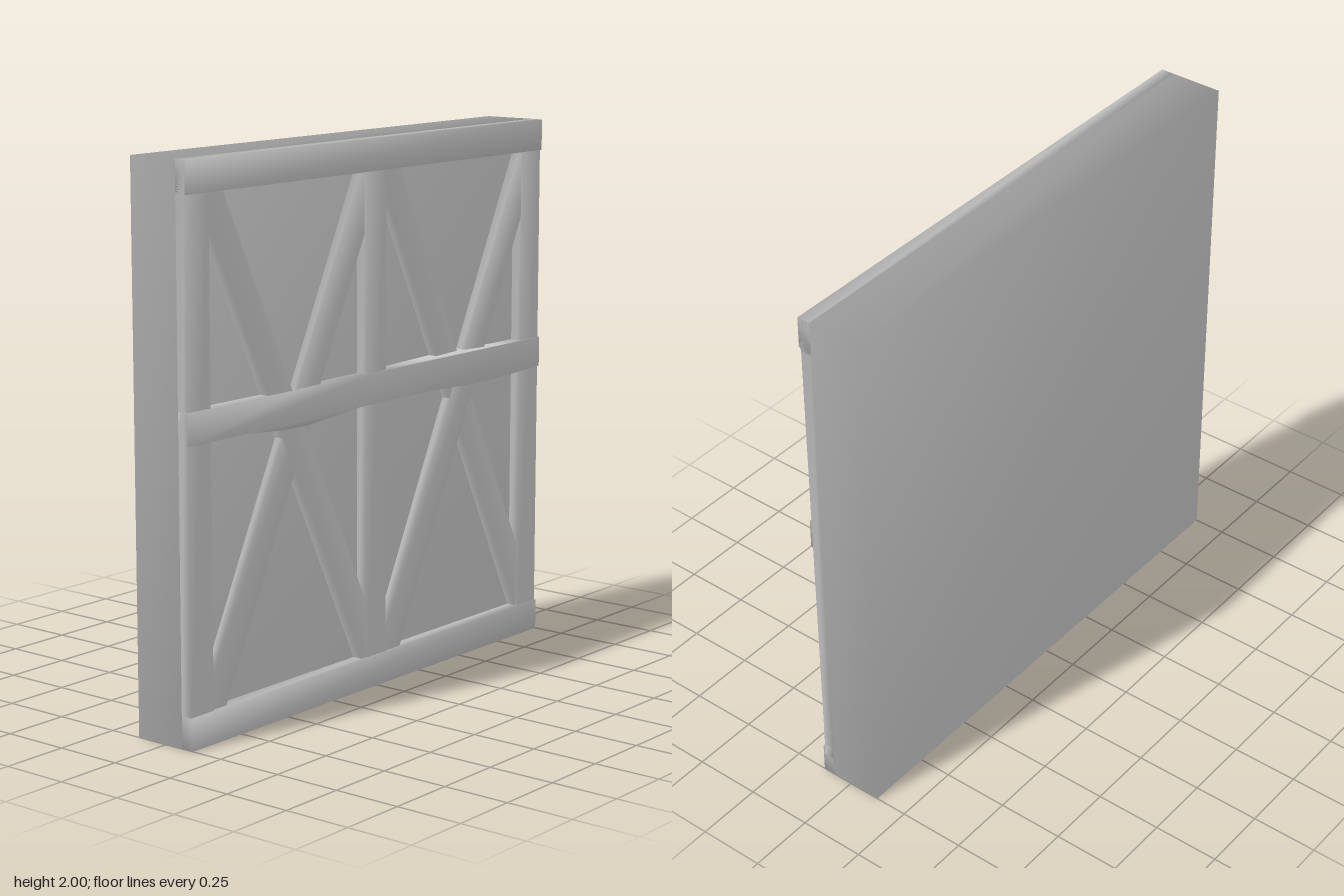
import * as THREE from 'three';
import { mergeVertices } from 'three/addons/utils/BufferGeometryUtils.js';

const BACK = -0.125, FACE = 0.075; // wall slab depth range
const WIDTH = 0.115;               // timber width

// Shares corner vertices so the shading runs softly round the edges
function soften(geometry) {
  geometry.deleteAttribute('normal');
  geometry.deleteAttribute('uv');
  const merged = mergeVertices(geometry, 1e-4);
  merged.computeVertexNormals();
  return merged;
}

export function createModel() {
  const group = new THREE.Group();
  const material = new THREE.MeshStandardMaterial({ color: 0xcccccc });

  function add(name, geometry, x, y, z, angle = 0) {
    const mesh = new THREE.Mesh(soften(geometry), material);
    mesh.name = name;
    mesh.position.set(x, y, z);
    mesh.rotation.z = angle;
    group.add(mesh);
  }

  // Timber lying on the wall face, its front at the given depth
  function timber(name, w, h, x, y, front, angle) {
    const depth = front - FACE;
    add(name, new THREE.BoxGeometry(w, h, depth), x, y, FACE + depth / 2, angle);
  }

  // Plaster slab
  add('wallPanel', new THREE.BoxGeometry(2, 2, FACE - BACK), 0, 1, (FACE + BACK) / 2);

  // Top and bottom rails
  timber('bottomRail', 2, WIDTH, 0, WIDTH / 2, 0.125);
  timber('topRail', 2, WIDTH, 0, 2 - WIDTH / 2, 0.125);

  // Upright posts
  const inset = 1 - WIDTH / 2;
  [['rightPost', -inset], ['middlePost', 0], ['leftPost', inset]].forEach(([name, x]) =>
    timber(name, WIDTH, 1.998, x, 1, 0.117));

  // Crossed braces, one in front of the other in each bay
  const lean = Math.atan(0.486), rise = 1.86;
  [['right', -0.445, 1], ['left', 0.512, -1]].forEach(([side, x, dir]) => {
    timber(side + 'FrontBrace', WIDTH, rise / Math.cos(lean), x, 1, 0.113, dir * lean);
    timber(side + 'BackBrace', WIDTH, rise / Math.cos(lean), x, 1, 0.109, -dir * lean);
  });

  // Slightly crooked middle rail
  const lower = [[-1, 1.05], [-0.72, 1.05], [-0.52, 1.033], [-0.4, 1.03], [-0.1, 1.05],
    [0.3, 1.05], [0.5, 1.042], [0.7, 1.039], [1, 1.05]];
  const upper = [[1, 1.163], [0.75, 1.164], [0.5, 1.174], [0.3, 1.169], [0, 1.163],
    [-0.45, 1.16], [-1, 1.163]];
  const outline = new THREE.Shape([...lower, ...upper].map(p => new THREE.Vector2(...p)));
  add('middleRail', new THREE.ExtrudeGeometry(outline,
    { depth: 0.05, bevelEnabled: false }), 0, 0, FACE);

  return group;
}
